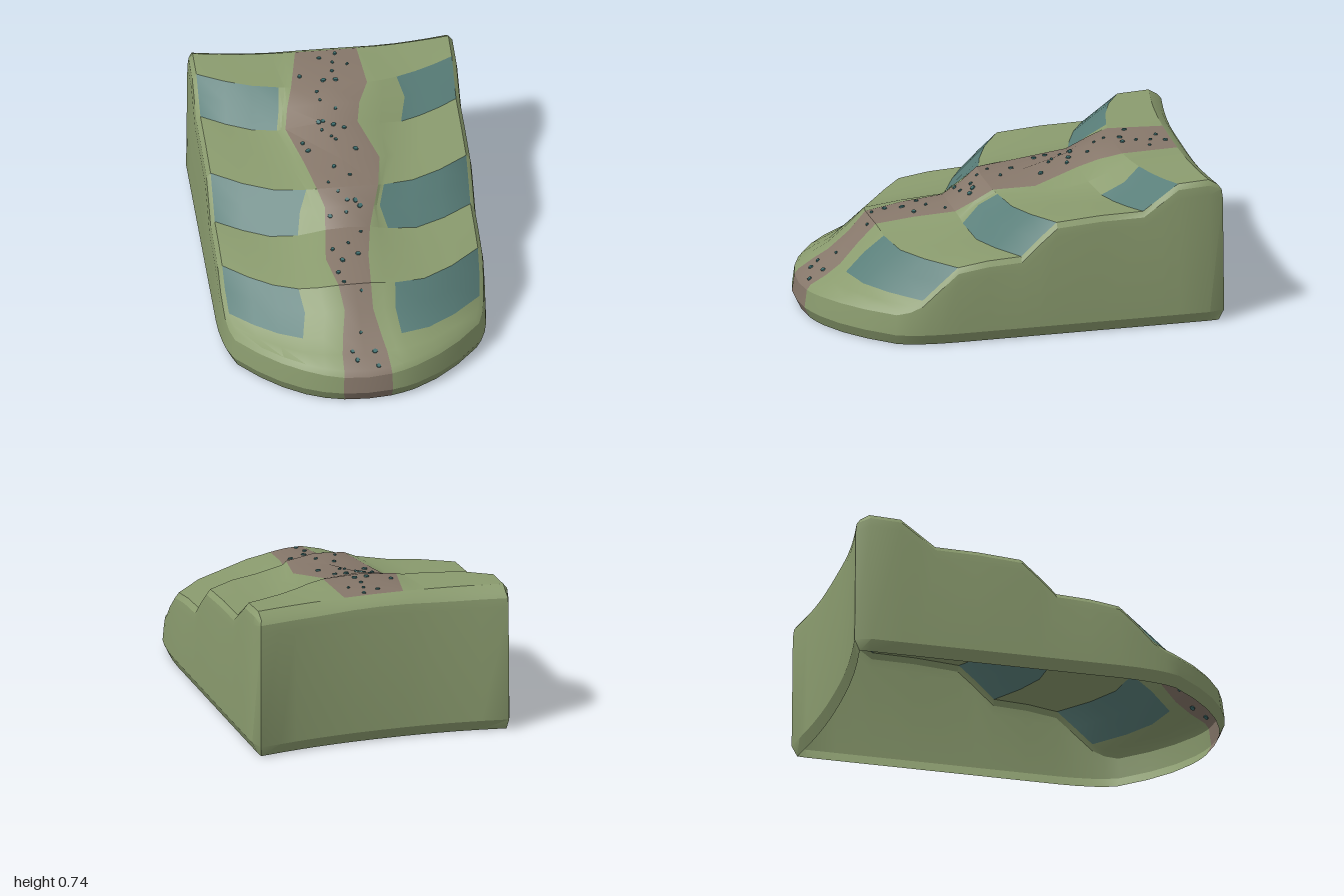
import * as THREE from 'three';
import { toCreasedNormals } from 'three/addons/utils/BufferGeometryUtils.js';

const lerp = THREE.MathUtils.lerp;

// Terrace rows from back to front:
// [centre z, centre y, edge z, edge y, edge x, path left, path right, patch left, patch right]
const ROWS = [
  [-0.92, 0.715, -0.975, 0.705, 0.625, -0.12, 0.14, -0.25, 0.36],
  [-0.88, 0.735, -0.93, 0.733, 0.625, -0.13, 0.17, -0.25, 0.36],
  [-0.60, 0.735, -0.78, 0.722, 0.625, -0.18, 0.19, -0.24, 0.34],
  [-0.50, 0.700, -0.70, 0.660, 0.625, -0.21, 0.14, -0.25, 0.37],
  [-0.40, 0.665, -0.61, 0.592, 0.625, -0.23, 0.12, -0.27, 0.34],
  [-0.15, 0.622, -0.40, 0.588, 0.625, -0.17, 0.20, -0.24, 0.28],
  [0.05, 0.608, -0.18, 0.572, 0.625, -0.13, 0.17, -0.18, 0.20],
  [0.13, 0.550, -0.09, 0.495, 0.625, -0.10, 0.14, -0.22, 0.17],
  [0.22, 0.490, 0.00, 0.412, 0.625, -0.11, 0.11, -0.24, 0.20],
  [0.42, 0.463, 0.17, 0.405, 0.625, -0.13, 0.08, -0.27, 0.22],
  [0.61, 0.440, 0.32, 0.385, 0.625, -0.09, 0.07, -0.28, 0.19],
  [0.70, 0.350, 0.41, 0.310, 0.622, -0.07, 0.07, -0.26, 0.18],
  [0.80, 0.262, 0.50, 0.228, 0.612, -0.09, 0.10, -0.28, 0.20],
  [0.88, 0.215, 0.56, 0.200, 0.60, -0.10, 0.12, -0.28, 0.22],
  [0.952, 0.165, 0.61, 0.180, 0.58, -0.10, 0.13, -0.28, 0.25],
];
const STEP_ROWS = [2, 3, 6, 7, 10, 11];

// Pebbles as x, z pairs along the path
const PEBBLES = [
  -0.02, -0.82, 0.04, -0.78, 0.11, -0.76, 0.03, -0.71, -0.13, -0.69, -0.02, -0.64, 0.04, -0.64,
  0.06, -0.85, -0.06, -0.57, -0.05, -0.52, 0.02, -0.47, -0.05, -0.4, -0.07, -0.4, 0, -0.38,
  0.05, -0.36, -0.06, -0.35, -0.02, -0.3, 0, -0.28, -0.16, -0.3, -0.14, -0.24, 0.09, -0.22,
  -0.03, -0.1, 0.04, -0.03, -0.07, 0.01, -0.03, 0.07, 0.01, 0.11, 0.05, 0.11, 0.07, 0.13,
  -0.08, 0.17, 0, 0.16, 0.06, 0.25, -0.01, 0.33, -0.09, 0.36, 0.03, 0.4, -0.05, 0.44,
  -0.08, 0.52, -0.06, 0.59, 0.02, 0.63, 0, 0.78, -0.05, 0.86, -0.03, 0.9, 0.06, 0.86, 0.07, 0.93,
];

function material(name, color, extra = {}) {
  const m = new THREE.MeshStandardMaterial({ color, ...extra });
  m.name = name;
  return m;
}

// One row of 13 points: edge, patch, verge, path, verge, patch, edge
function rowPoints([cz, cy, ez, ey, ex, pathL, pathR, patchL, patchR], i) {
  const xs = [
    -ex, lerp(-ex, patchL, 0.33), lerp(-ex, patchL, 0.66), patchL, (patchL + pathL) / 2, pathL,
    (pathL + pathR) / 2,
    pathR, (patchR + pathR) / 2, patchR, lerp(ex, patchR, 0.66), lerp(ex, patchR, 0.33), ex,
  ];
  const rough = i > 1 && i < 14 ? 0.009 : 0;
  return xs.map((x, j) => {
    const u = Math.abs(x) / ex;
    const wobble = rough * Math.sin(i * 12.9 + j * 7.3);
    return new THREE.Vector3(
      x,
      lerp(cy, ey, THREE.MathUtils.smoothstep(u, 0.05, 0.6)) + wobble * 0.7,
      lerp(cz, ez, Math.pow(u, 2.2)) + wobble,
    );
  });
}

function hillGeometry() {
  const faces = [[], [], []]; // grass, path, patches
  const quad = (a, b, c, d, k) => faces[k].push(a, b, c, a, c, d);
  const grid = ROWS.map(rowPoints);
  const last = grid.length - 1;

  // Terraced top
  for (let i = 0; i < last; i++) {
    for (let j = 0; j < 12; j++) {
      let kind = 0;
      if (i > 0 && (j === 5 || j === 6)) kind = 1;
      else if (STEP_ROWS.includes(i) && (j < 3 || j > 8)) kind = 2;
      quad(grid[i][j], grid[i + 1][j], grid[i + 1][j + 1], grid[i][j + 1], kind);
    }
  }

  // Rim loop: back, right edge, front, left edge
  const rim = [];
  for (let j = 0; j < 12; j++) rim.push({ p: grid[0][j] });
  for (let i = 0; i < last; i++) rim.push({ p: grid[i][12] });
  for (let j = 12; j > 0; j--) rim.push({ p: grid[last][j], path: j === 7 || j === 6 });
  for (let i = last; i > 0; i--) rim.push({ p: grid[i][0] });

  // Outer wall, bulging out below the rim and tucked in at the ground
  const n = rim.length;
  const column = rim.map(({ p }, k) => {
    const t = rim[(k + 1) % n].p.clone().sub(rim[(k + n - 1) % n].p).setY(0).normalize();
    const at = (out, y) => new THREE.Vector3(p.x + t.z * out, y, p.z - t.x * out);
    return [p, at(0.02, p.y - 0.025), at(0.026, p.y - 0.07), at(0.032, 0.055), at(0.005, 0)];
  });
  for (let k = 0; k < n; k++) {
    const a = column[k], b = column[(k + 1) % n];
    for (let r = 0; r < 4; r++) quad(a[r], b[r], b[r + 1], a[r + 1], rim[k].path ? 1 : 0);
  }

  const geometry = new THREE.BufferGeometry().setFromPoints(faces.flat());
  let start = 0;
  faces.forEach((list, k) => {
    geometry.addGroup(start, list.length, k);
    start += list.length;
  });
  return toCreasedNormals(geometry, 0.45);
}

export function createModel() {
  const group = new THREE.Group();
  group.name = 'terracedHill';

  const open = { side: THREE.DoubleSide };
  const hill = new THREE.Mesh(hillGeometry(), [
    material('grass green', 0x8a9b6e, open),
    material('path brown', 0x86776a, open),
    material('slate teal', 0x587d78, open),
  ]);
  hill.name = 'hill';
  group.add(hill);

  // Pebbles laid flat on the path
  const pebbles = new THREE.Group();
  pebbles.name = 'pebbles';
  const stone = material('pebble teal', 0x3f6e6e, { flatShading: true });
  const pebbleShape = new THREE.CylinderGeometry(0.75, 1, 1, 7);
  const ray = new THREE.Raycaster();
  const down = new THREE.Vector3(0, -1, 0);
  const up = new THREE.Vector3(0, 1, 0);
  for (let k = 0; k < PEBBLES.length; k += 2) {
    ray.set(new THREE.Vector3(PEBBLES[k], 2, PEBBLES[k + 1]), down);
    const hit = ray.intersectObject(hill)[0];
    if (!hit) continue;
    const pebble = new THREE.Mesh(pebbleShape, stone);
    const size = 0.011 + 0.003 * Math.sin(k * 2.7);
    pebble.name = 'pebble';
    pebble.scale.set(size * 1.2, 0.012, size);
    pebble.position.copy(hit.point);
    pebble.quaternion.setFromUnitVectors(up, hit.face.normal);
    pebble.rotateY(k);
    pebbles.add(pebble);
  }
  group.add(pebbles);
  return group;
}
